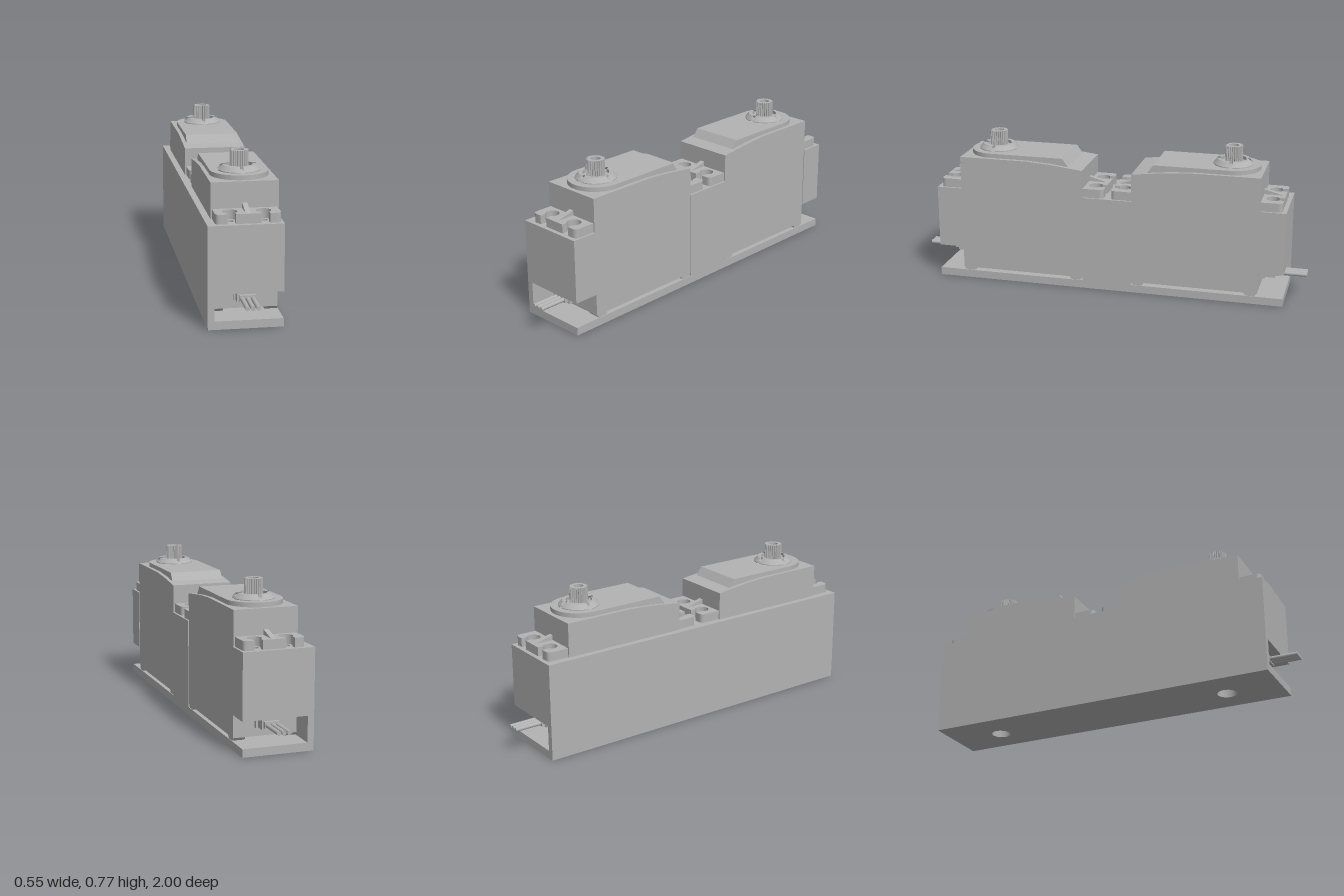
import * as THREE from 'three';

const gray = new THREE.MeshStandardMaterial({ color: 0xb2b2b2, side: THREE.DoubleSide });
gray.name = 'plain gray';

function add(parent, name, geometry, x = 0, y = 0, z = 0) {
  const m = new THREE.Mesh(geometry, gray);
  m.name = name;
  m.position.set(x, y, z);
  parent.add(m);
  return m;
}

// Box given by its limits on each axis
function box(parent, name, x0, x1, y0, y1, z0, z1) {
  return add(parent, name, new THREE.BoxGeometry(x1 - x0, y1 - y0, z1 - z0),
    (x0 + x1) / 2, (y0 + y1) / 2, (z0 + z1) / 2);
}

// Plan shape (x, -z) raised upward from height y0 to y1
function raise(shape, y0, y1, curveSegments = 16) {
  const g = new THREE.ExtrudeGeometry(shape, { depth: y1 - y0, bevelEnabled: false, curveSegments });
  return g.rotateX(-Math.PI / 2).translate(0, y0, 0);
}

// Side profile of [z, y] points extruded across x
function across(points, width) {
  const shape = new THREE.Shape(points.map(([z, y]) => new THREE.Vector2(z, y)));
  const g = new THREE.ExtrudeGeometry(shape, { depth: width, bevelEnabled: false });
  return g.translate(0, 0, -width / 2).rotateY(-Math.PI / 2);
}

function rectShape(x0, x1, z0, z1) {
  return new THREE.Shape([[x0, -z1], [x1, -z1], [x1, -z0], [x0, -z0]].map(p => new THREE.Vector2(...p)));
}

function punch(shape, x, z, r) {
  shape.holes.push(new THREE.Path().absarc(x, -z, r, 0, Math.PI * 2, true));
}

const SERVO_X = 0.0125, SERVO_Z = 0.449, HOLE_X = 0.077, HOLE_Z = 0.375, SHAFT_Z = 0.163;
const X0 = -0.176, X1 = 0.173, HALF = 0.9, BODY = 0.322;

// Mounting ear with two open screw slots and a gusset, pointing to -z
function makeEar() {
  const ear = new THREE.Group();
  ear.name = 'mountingEar';
  const s = new THREE.Shape();
  s.moveTo(-0.15, 0.31);
  s.lineTo(-0.15, 0.405);
  s.quadraticCurveTo(-0.15, 0.43, -0.125, 0.43);
  for (const x of [-HOLE_X, HOLE_X]) {
    s.lineTo(x - 0.02, 0.43);
    s.lineTo(x - 0.02, 0.4025);
    s.absarc(x, HOLE_Z, 0.034, 2.2, 0.942 + Math.PI * 2, false);
    s.lineTo(x + 0.02, 0.43);
  }
  s.lineTo(0.125, 0.43);
  s.quadraticCurveTo(0.15, 0.43, 0.15, 0.405);
  s.lineTo(0.15, 0.31);
  add(ear, 'earPlate', raise(s, 0.485, 0.53));
  add(ear, 'earGusset', across([[-0.415, 0.53], [-0.31, 0.53], [-0.31, 0.558]], 0.024));
  return ear;
}

// Toothed output shaft with a screw hole
function makeShaft() {
  const s = new THREE.Shape();
  const teeth = 24;
  for (let i = 0; i < teeth * 4; i++) {
    const r = i % 4 < 2 ? 0.0445 : 0.0395;
    const a = (i / (teeth * 4)) * Math.PI * 2;
    if (i === 0) s.moveTo(r, 0);
    else s.lineTo(r * Math.cos(a), r * Math.sin(a));
  }
  punch(s, 0, 0, 0.024);
  return raise(s, 0.675, 0.768);
}

function makeServo() {
  const servo = new THREE.Group();
  servo.name = 'servo';

  // Case, with its top falling toward the tail
  add(servo, 'case', across([[-BODY, 0.055], [BODY, 0.055], [BODY, 0.653],
    [-0.03, 0.653], [-0.15, 0.645], [-BODY, 0.625]], 0.314));
  for (const sx of [-1, 1]) for (const sz of [-1, 1]) {
    add(servo, 'caseFoot', across([[-0.035, 0.057], [-0.022, 0.04], [0.022, 0.04], [0.035, 0.057]], 0.06),
      sx * 0.127, 0, sz * 0.287);
  }

  // Lid, round around the shaft and sloped at the tail
  const lid = new THREE.Shape();
  lid.moveTo(-0.1375, 0.215);
  lid.lineTo(-0.1375, -SHAFT_Z);
  lid.absarc(0, -SHAFT_Z, 0.1375, Math.PI, Math.PI * 2, false);
  lid.lineTo(0.1375, 0.215);
  lid.closePath();
  const lidGeo = raise(lid, 0.62, 0.675, 32);
  const p = lidGeo.attributes.position;
  for (let i = 0; i < p.count; i++) {
    if (p.getZ(i) < -0.2 && p.getY(i) < 0.65) p.setZ(i, p.getZ(i) - 0.04);
  }
  lidGeo.computeVertexNormals();
  add(servo, 'lid', lidGeo);

  // Bevelled collar with four notches
  const profile = [[0.063, 0.672], [0.1, 0.672], [0.1, 0.679], [0.081, 0.701], [0.063, 0.701], [0.063, 0.672]];
  const gap = 0.2;
  for (let i = 0; i < 4; i++) {
    const g = new THREE.LatheGeometry(profile.map(q => new THREE.Vector2(...q)), 12,
      i * Math.PI / 2 + gap / 2, Math.PI / 2 - gap).toNonIndexed();
    g.computeVertexNormals();
    add(servo, 'collarSegment', g, 0, 0, SHAFT_Z);
  }
  add(servo, 'collarBase', new THREE.CylinderGeometry(0.088, 0.096, 0.01, 40), 0, 0.679, SHAFT_Z);
  add(servo, 'outputShaft', makeShaft(), 0, 0, SHAFT_Z);
  add(servo, 'shaftHoleFloor', new THREE.CylinderGeometry(0.03, 0.03, 0.03, 20), 0, 0.7, SHAFT_Z);

  // Ears at both ends
  servo.add(makeEar());
  const frontEar = makeEar();
  frontEar.rotation.y = Math.PI;
  servo.add(frontEar);

  // Cable strain relief and three wires
  box(servo, 'cableSocket', -0.053, 0.053, 0.098, 0.158, 0.31, 0.345);
  box(servo, 'cableGrip', -0.045, 0.045, 0.104, 0.152, 0.34, 0.395);
  box(servo, 'cableNeck', -0.037, 0.037, 0.112, 0.144, 0.39, 0.415);
  for (const x of [-0.025, 0, 0.025]) {
    add(servo, 'wire', new THREE.CylinderGeometry(0.0105, 0.0105, 0.16, 14).rotateX(Math.PI / 2), x, 0.128, 0.473);
  }
  return servo;
}

function makeBracket() {
  const bracket = new THREE.Group();
  bracket.name = 'bracket';

  // Base plate with two round holes
  const base = rectShape(X0, X1, -HALF, HALF);
  for (const s of [-1, 1]) punch(base, SERVO_X, s * 0.63, 0.048);
  add(bracket, 'basePlate', raise(base, 0, 0.04, 24));

  box(bracket, 'sideWall', X0, -0.145, 0.04, 0.485, -HALF, HALF);

  // Solid middle block and raised end blocks, drilled for screws
  const inner = SERVO_Z - BODY, outer = SERVO_Z + BODY;
  const middle = rectShape(-0.145, X1, -inner, inner);
  for (const s of [-1, 1]) {
    const end = s > 0 ? rectShape(-0.145, X1, outer, HALF) : rectShape(-0.145, X1, -HALF, -outer);
    for (const sx of [-1, 1]) {
      punch(middle, SERVO_X + sx * HOLE_X, s * (SERVO_Z - HOLE_Z), 0.018);
      punch(end, SERVO_X + sx * HOLE_X, s * (SERVO_Z + HOLE_Z), 0.018);
    }
    add(bracket, 'endBlock', raise(end, 0.167, 0.485));
  }
  add(bracket, 'middleBlock', raise(middle, 0.04, 0.485));
  return bracket;
}

export function createModel() {
  const model = new THREE.Group();
  model.name = 'servoPair';
  const assembly = new THREE.Group();
  assembly.name = 'assembly';
  assembly.rotation.y = 0.1134;
  model.add(assembly);
  assembly.add(makeBracket());
  // Two servos facing opposite ways
  for (const s of [1, -1]) {
    const servo = makeServo();
    servo.position.set(SERVO_X, 0, s * SERVO_Z);
    if (s < 0) servo.rotation.y = Math.PI;
    assembly.add(servo);
  }
  return model;
}
